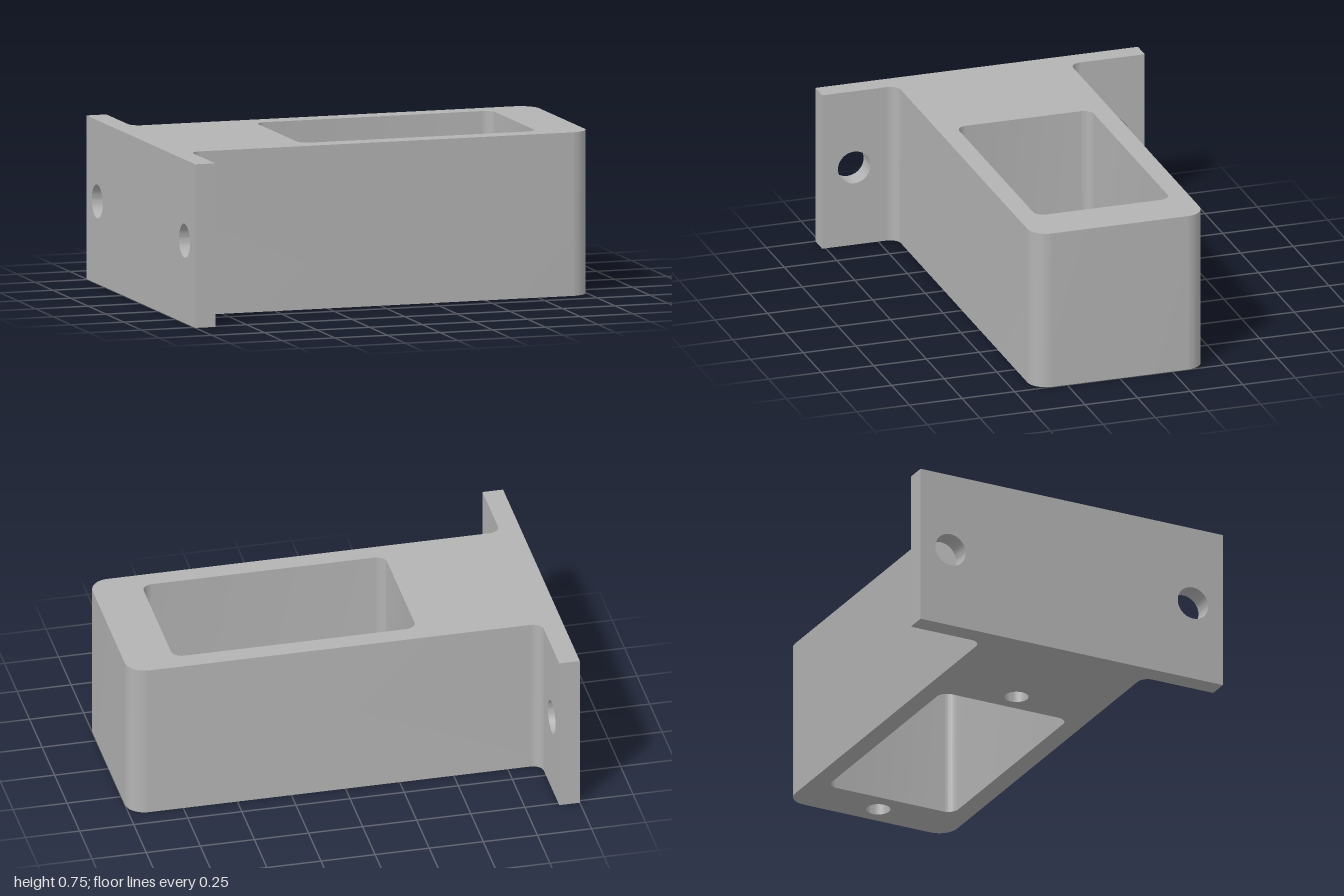
import * as THREE from 'three';
import { toCreasedNormals } from 'three/addons/utils/BufferGeometryUtils.js';

// Main dimensions; plans are drawn in (x, s) with s = -z
const HEIGHT = 0.745, HALF_FLANGE = 0.767, FLANGE_X = -0.905;
const HALF_BODY = 0.41, FILLET = 0.05, CORNER = 0.09;
const HOLE_Z = 0.615, HOLE_Y = 0.375, HOLE_R = 0.077;
const BOLT_X = [0.89, -0.46], BOLT_R = 0.055, BOLT_DEPTH = 0.3;

const v2 = (x, y) => new THREE.Vector2(x, y);
const circle = (x, y, r) => new THREE.Path().absarc(x, y, r, 0, Math.PI * 2, false);

// Upright wall following plan points; faces the right-hand side of the path
function wall(points, y0, y1) {
  const n = points.length;
  const geo = new THREE.PlaneGeometry(1, 1, n - 1, 1);
  const pos = geo.attributes.position;
  points.forEach((p, i) => {
    pos.setXYZ(i, p.x, y1, -p.y);
    pos.setXYZ(i + n, p.x, y0, -p.y);
  });
  return toCreasedNormals(geo, 0.5);
}

function rectangle(u0, u1, v0, v1, holes) {
  const shape = new THREE.Shape([v2(u0, v0), v2(u1, v0), v2(u1, v1), v2(u0, v1)]);
  shape.holes.push(...holes);
  return new THREE.ShapeGeometry(shape, 24);
}

export function createModel() {
  const group = new THREE.Group();
  group.name = 'mountingBracket';
  const grey = new THREE.MeshStandardMaterial({ color: 0xb3b3b3, side: THREE.DoubleSide });
  grey.name = 'grey';
  const add = (name, geo) => {
    const mesh = new THREE.Mesh(geo, grey);
    mesh.name = name;
    group.add(mesh);
    return mesh;
  };
  const PI = Math.PI, Q = PI / 2;

  // Body side: fillet, rounded free end, fillet
  const fx = FLANGE_X + FILLET, fs = HALF_BODY + FILLET;
  const cx = 1 - CORNER, cs = HALF_BODY - CORNER;
  const body = new THREE.Path()
    .absarc(fx, -fs, FILLET, PI, Q, true)
    .absarc(cx, -cs, CORNER, -Q, 0, false)
    .absarc(cx, cs, CORNER, 0, Q, false)
    .absarc(fx, fs, FILLET, -Q, -PI, true)
    .getPoints(10);
  add('bodySides', wall(body, 0, HEIGHT));

  // Rounded rectangular pocket, open at top and bottom
  const r = 0.05, px0 = -0.35 + r, px1 = 0.775 - r, ps = 0.32 - r;
  const pocket = new THREE.Path()
    .absarc(px0, -ps, r, -Q, -PI, true)
    .absarc(px0, ps, r, PI, Q, true)
    .absarc(px1, ps, r, Q, 0, true)
    .absarc(px1, -ps, r, 0, -Q, true)
    .getPoints(10);
  pocket.push(pocket[0].clone());
  add('pocketWalls', wall(pocket, 0, HEIGHT));

  // Top and bottom faces, including the flange edge
  const plan = (holes) => {
    const shape = new THREE.Shape([
      v2(-1, -HALF_FLANGE), v2(FLANGE_X, -HALF_FLANGE), ...body,
      v2(FLANGE_X, HALF_FLANGE), v2(-1, HALF_FLANGE),
    ]);
    shape.holes.push(new THREE.Path(pocket), ...holes);
    return new THREE.ShapeGeometry(shape, 24);
  };
  add('topFace', plan([]).rotateX(-Q).translate(0, HEIGHT, 0));
  add('bottomFace', plan(BOLT_X.map((x) => circle(x, 0, BOLT_R))).rotateX(Q));

  // Blind bolt holes in the underside
  for (const x of BOLT_X) {
    const rim = circle(x, 0, BOLT_R).getPoints(24).reverse();
    add('boltHole', wall(rim, 0, BOLT_DEPTH));
    add('boltHoleEnd', new THREE.CircleGeometry(BOLT_R, 48).rotateX(Q).translate(x, BOLT_DEPTH, 0));
  }

  // Flange plate: back face, then front face, end and screw hole on each side
  const screwHoles = [-1, 1].map((s) => circle(s * HOLE_Z, HOLE_Y, HOLE_R));
  add('flangeBack', rectangle(-HALF_FLANGE, HALF_FLANGE, 0, HEIGHT, screwHoles)
    .rotateY(-Q).translate(-1, 0, 0));
  for (const s of [-1, 1]) {
    const [u0, u1] = s > 0 ? [fs, HALF_FLANGE] : [-HALF_FLANGE, -fs];
    add('flangeFront', rectangle(u0, u1, 0, HEIGHT, [circle(s * HOLE_Z, HOLE_Y, HOLE_R)])
      .rotateY(Q).translate(FLANGE_X, 0, 0));
    const end = [v2(-1, s * HALF_FLANGE), v2(FLANGE_X, s * HALF_FLANGE)];
    add('flangeEnd', wall(s > 0 ? end.reverse() : end, 0, HEIGHT));
    const rim = circle(0, 0, HOLE_R).getPoints(24).reverse();
    add('screwHole', wall(rim, 0, FLANGE_X + 1).rotateZ(-Q).translate(-1, HOLE_Y, s * HOLE_Z));
  }
  return group;
}
